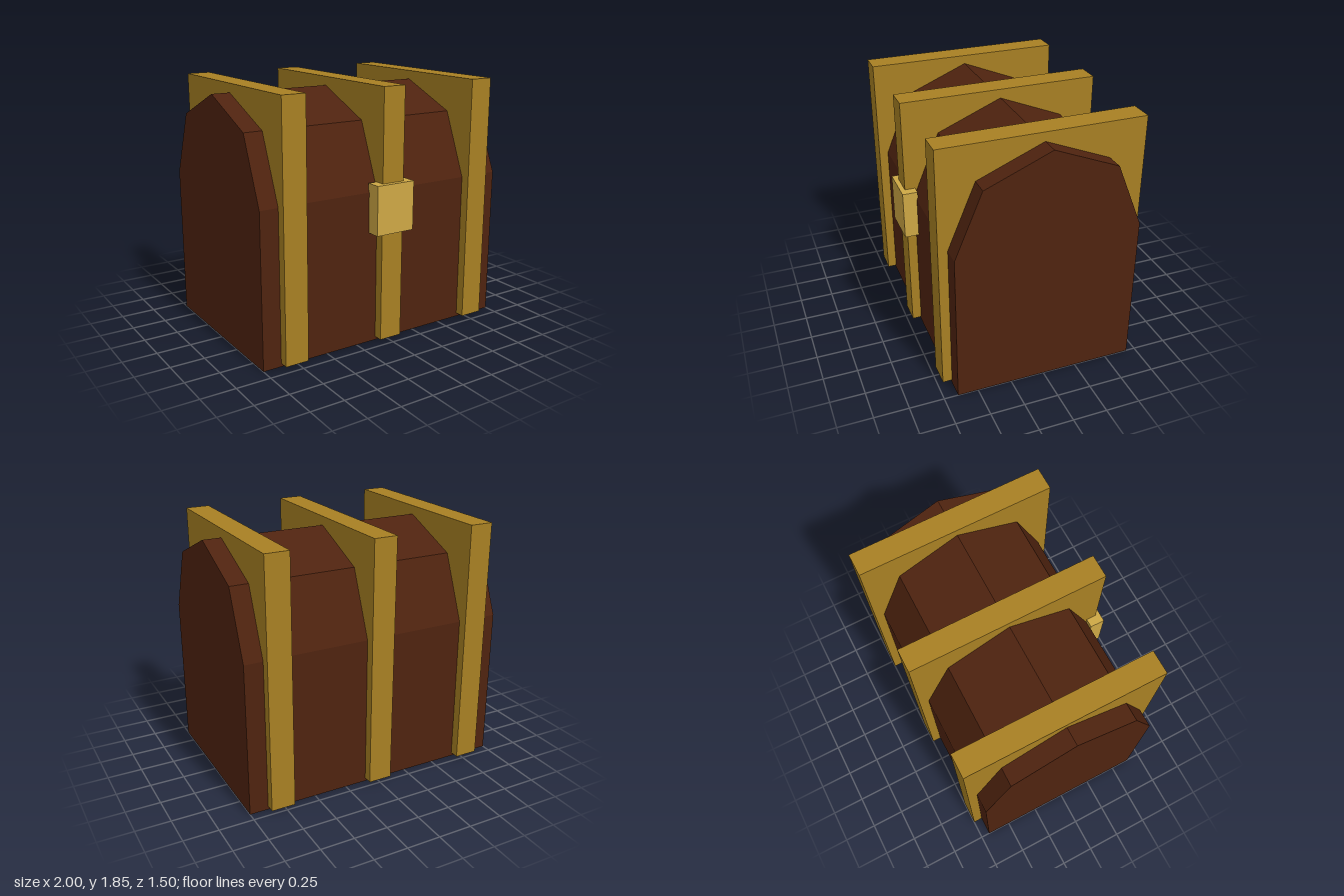
import * as THREE from 'three';

const material = (name, color) => {
  const m = new THREE.MeshStandardMaterial({ color, flatShading: true });
  m.name = name;
  return m;
};

export function createModel() {
  const chest = new THREE.Group();
  chest.name = 'treasureChest';

  const wood = material('darkWood', 0x4f230f);
  const brass = material('brass', 0xa88023);
  const gold = material('paleGold', 0xcea845);

  const add = (name, geometry, mat, x, y, z) => {
    const mesh = new THREE.Mesh(geometry, mat);
    mesh.name = name;
    mesh.position.set(x, y, z);
    chest.add(mesh);
  };

  const radius = 0.665, seam = 1.115, centreZ = -0.017;

  // wooden box
  add('base', new THREE.BoxGeometry(2, seam, radius * 2), wood, 0, seam / 2, centreZ);

  // four-sided half barrel lid, lying along x
  const lid = new THREE.CylinderGeometry(radius, radius, 2, 4, 1, false, 0, Math.PI);
  lid.rotateZ(Math.PI / 2);
  add('lid', lid, wood, 0, seam, centreZ);

  // three square bands that wrap the chest
  for (const [name, x] of [['rightBand', -0.777], ['middleBand', 0], ['leftBand', 0.777]]) {
    add(name, new THREE.BoxGeometry(0.175, 1.82, 1.465), brass, x, 0.935, centreZ);
  }

  // lock plate on the front of the middle band
  add('lock', new THREE.BoxGeometry(0.306, 0.355, 0.11), gold, 0, 1.003, 0.695);

  return chest;
}
